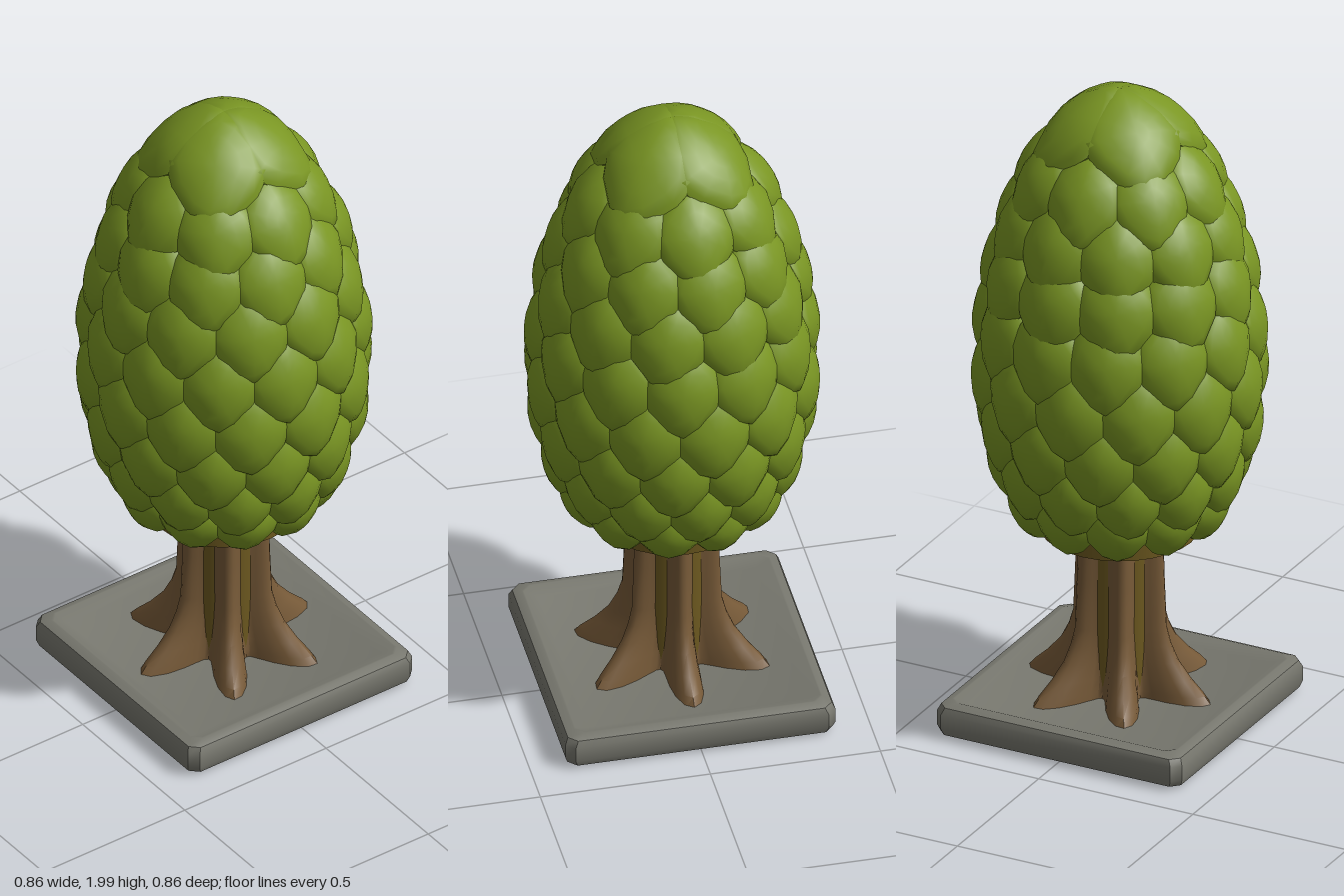
import * as THREE from 'three';
import { mergeVertices, toCreasedNormals } from 'three/addons/utils/BufferGeometryUtils.js';

const paint = (name, color) => Object.assign(new THREE.MeshStandardMaterial({ color }), { name });

function part(name, geometry, material, parent) {
  const mesh = new THREE.Mesh(geometry, material);
  mesh.name = name;
  parent.add(mesh);
  return mesh;
}

// Skin a stack of equal-sized rings, each listed counter-clockwise seen from the stack's far end.
function loft(rings, crease) {
  const n = rings[0].length;
  const index = [];
  for (let k = 0; k < rings.length - 1; k++) {
    for (let i = 0; i < n; i++) {
      const a = k * n + i, b = k * n + (i + 1) % n;
      index.push(a, b, b + n, a, b + n, a + n);
    }
  }
  let geometry = new THREE.BufferGeometry().setFromPoints(rings.flat());
  geometry.setIndex(index);
  geometry = mergeVertices(geometry, 1e-5);
  return toCreasedNormals(geometry, crease);
}

// Square plinth with softened edges and a shallow sunken panel
function plinthGeometry() {
  const profile = [[0, 0], [0.37, 0], [0.39, 0.01], [0.397, 0.03], [0.397, 0.075], [0.388, 0.095],
    [0.365, 0.105], [0.36, 0.105], [0.32, 0.088], [0, 0.088]];
  return loft(profile.map(([h, y]) => {
    const c = h > 0.33 ? h - 0.025 : h;
    return [[h, -c], [h, c], [c, h], [-c, h], [-h, c], [-h, -c], [-c, -h], [c, -h]]
      .map(([x, z]) => new THREE.Vector3(x, y, -z));
  }), 0.6);
}

// Six-ribbed trunk flaring into roots: [height, rib radius, groove radius]
function trunkGeometry() {
  const levels = [[0.08, 0.3, 0.11], [0.11, 0.275, 0.108], [0.15, 0.232, 0.104], [0.2, 0.19, 0.1],
    [0.25, 0.165, 0.098], [0.3, 0.15, 0.098], [0.45, 0.143, 0.1], [0.6, 0.138, 0.102]];
  return loft(levels.map(([y, rib, groove]) => Array.from({ length: 72 }, (_, i) => {
    const a = (i / 72) * Math.PI * 2;
    const r = groove + (rib - groove) * Math.abs(Math.cos(3 * a)) ** 2.6;
    return new THREE.Vector3(r * Math.cos(a), y, -r * Math.sin(a));
  })), 0.9);
}

// Unit leaf scale: half width 1, half height 1, domed along +z, bent back at its edges
function leafGeometry() {
  const half = [[0, -1], [0.42, -0.84], [0.84, -0.38], [1, 0.06], [0.8, 0.5], [0.36, 0.86]];
  const outline = [...half, [0, 1], ...half.slice(1).reverse().map(([x, y]) => [-x, y])];
  const rings = [[0.9, -0.05], [1, -0.008], [0.93, 0.01], [0.75, 0.024], [0.5, 0.036], [0.25, 0.042], [0, 0.043]];
  return loft(rings.map(([s, z]) => outline.map(([x, y]) =>
    new THREE.Vector3(x * s, y * s, z - 0.018 * (x * s) ** 2 - 0.012 * (y * s) ** 2))), 0.75);
}

export function createModel() {
  const model = new THREE.Group();
  model.name = 'clippedTree';
  const stone = paint('stone', 0x77776e);
  const bark = paint('bark', 0x775a38);
  const mossyBark = paint('mossyBark', 0x6e5a20);
  const foliage = paint('foliage', 0x7a9623);

  part('plinth', plinthGeometry(), stone, model);
  part('trunk', trunkGeometry(), bark, model);

  // Mossy heartwood showing in the trunk grooves
  part('trunkCore', new THREE.CylinderGeometry(0.107, 0.107, 0.52, 24), mossyBark, model).position.y = 0.34;
  part('collar', new THREE.CylinderGeometry(0.232, 0.23, 0.11, 28), mossyBark, model).position.y = 0.645;

  // Leaf rows: height, radius, count, outward pitch, phase, half height
  const rows = [
    [0.715, 0.295, 11, -0.33, -0.4, 0.118],
    [0.83, 0.34, 12, -0.2, 0.03, 0.14],
    [0.97, 0.372, 12, -0.08, -0.2, 0.15],
    [1.12, 0.385, 12, 0.02, 0.1, 0.155],
    [1.28, 0.378, 12, 0.1, -0.14, 0.155],
    [1.44, 0.353, 11, 0.19, 0.17, 0.155],
    [1.59, 0.312, 10, 0.3, -0.17, 0.155],
    [1.735, 0.25, 8, 0.46, 0.06, 0.155],
    [1.885, 0.135, 4, 0.87, Math.PI / 4, 0.178],
  ];

  // Egg-shaped crown body beneath the leaves
  const body = [[0, 0.64], [0.23, 0.65], ...rows.map(([y, r]) => [r - 0.03, y]), [0.05, 1.93], [0, 1.955]];
  part('crownBody', new THREE.LatheGeometry(body.map(p => new THREE.Vector2(...p)), 32), bark, model);

  // Overlapping leaves in staggered rings, lower tips kicked slightly outward
  const crown = new THREE.Group();
  crown.name = 'crown';
  model.add(crown);
  const leaf = leafGeometry();
  for (const [y, r, count, pitch, phase, halfHeight] of rows) {
    const halfWidth = count === 4 ? 0.15 : (Math.PI * (r + 0.035) / count) * 1.14;
    const kick = count === 4 ? 0 : 0.1;
    for (let i = 0; i < count; i++) {
      const a = phase + (i / count) * Math.PI * 2;
      const mesh = part('leaf', leaf, foliage, crown);
      mesh.position.set(r * Math.sin(a), y, r * Math.cos(a));
      mesh.rotation.set(-pitch - kick, a, 0, 'YXZ');
      mesh.scale.set(halfWidth, halfHeight, 1);
    }
  }
  return model;
}
